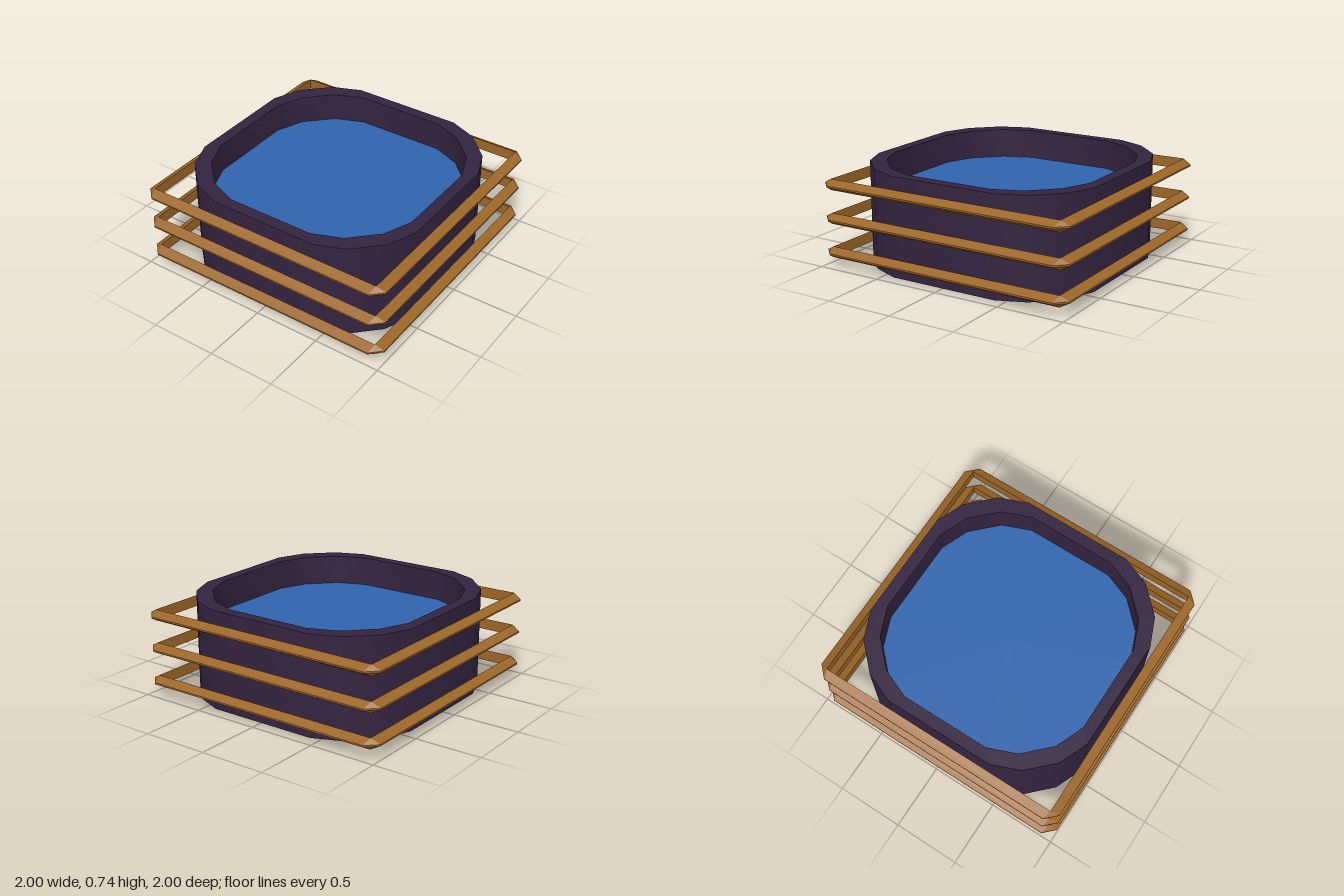
import * as THREE from 'three';
import { toCreasedNormals } from 'three/addons/utils/BufferGeometryUtils.js';

// Repeat the points of one corner around all four corners
function outline(corner) {
  const points = [];
  for (let k = 0; k < 4; k++) {
    for (const [x, z] of corner) {
      points.push([[x, z], [-z, x], [-x, -z], [z, -x]][k]);
    }
  }
  return points;
}

// Skin a series of [outline, height] sections, skipping collapsed triangles
function loft(sections, crease) {
  const rings = sections.map(([pts, y]) => pts.map(([x, z]) => new THREE.Vector3(x, y, z)));
  const verts = [];
  const tri = (a, b, c) => {
    if (a.equals(b) || b.equals(c) || a.equals(c)) return;
    for (const p of [a, b, c]) verts.push(p.x, p.y, p.z);
  };
  for (let s = 0; s < rings.length - 1; s++) {
    const lo = rings[s], hi = rings[s + 1], n = lo.length;
    for (let i = 0; i < n; i++) {
      const j = (i + 1) % n;
      tri(lo[i], hi[i], hi[j]);
      tri(lo[i], hi[j], lo[j]);
    }
  }
  const geo = new THREE.BufferGeometry();
  geo.setAttribute('position', new THREE.Float32BufferAttribute(verts, 3));
  return toCreasedNormals(geo, crease);
}

function addMesh(group, name, geo, color) {
  const mesh = new THREE.Mesh(geo, new THREE.MeshStandardMaterial({ color }));
  mesh.name = name;
  group.add(mesh);
  return mesh;
}

export function createModel() {
  const group = new THREE.Group();
  group.name = 'pool';

  const height = 0.735, waterLevel = 0.515;
  const outer = outline([[0.907, 0.42], [0.82, 0.633], [0.633, 0.82], [0.42, 0.907]]);
  const inner = outline([[0.82, 0.335], [0.735, 0.548], [0.548, 0.735], [0.335, 0.82]]);
  const centre = outer.map(() => [0, 0]);

  // Basin: closed underside, outer wall, rim and inner wall
  addMesh(group, 'basin', loft([
    [centre, 0], [outer, 0], [outer, height], [inner, height], [inner, waterLevel],
  ], 0.6), 0x33233f);

  // Water surface
  addMesh(group, 'water', loft([[inner, waterLevel], [centre, waterLevel]], 0.6), 0x3064ad);

  // Square rails: wedge section with clipped outer corners
  const railOuter = outline([[1, 0.918], [0.918, 1]]);
  const railInner = outline([[0.935, 0.935], [0.935, 0.935]]);
  const railGeo = loft([
    [railInner, -0.041], [railOuter, -0.006], [railOuter, 0.006], [railInner, 0.041], [railInner, -0.041],
  ], 0.1);
  ['lowerRail', 'middleRail', 'upperRail'].forEach((name, i) => {
    addMesh(group, name, railGeo, 0x9c6628).position.y = 0.106 + i * 0.251;
  });

  return group;
}
